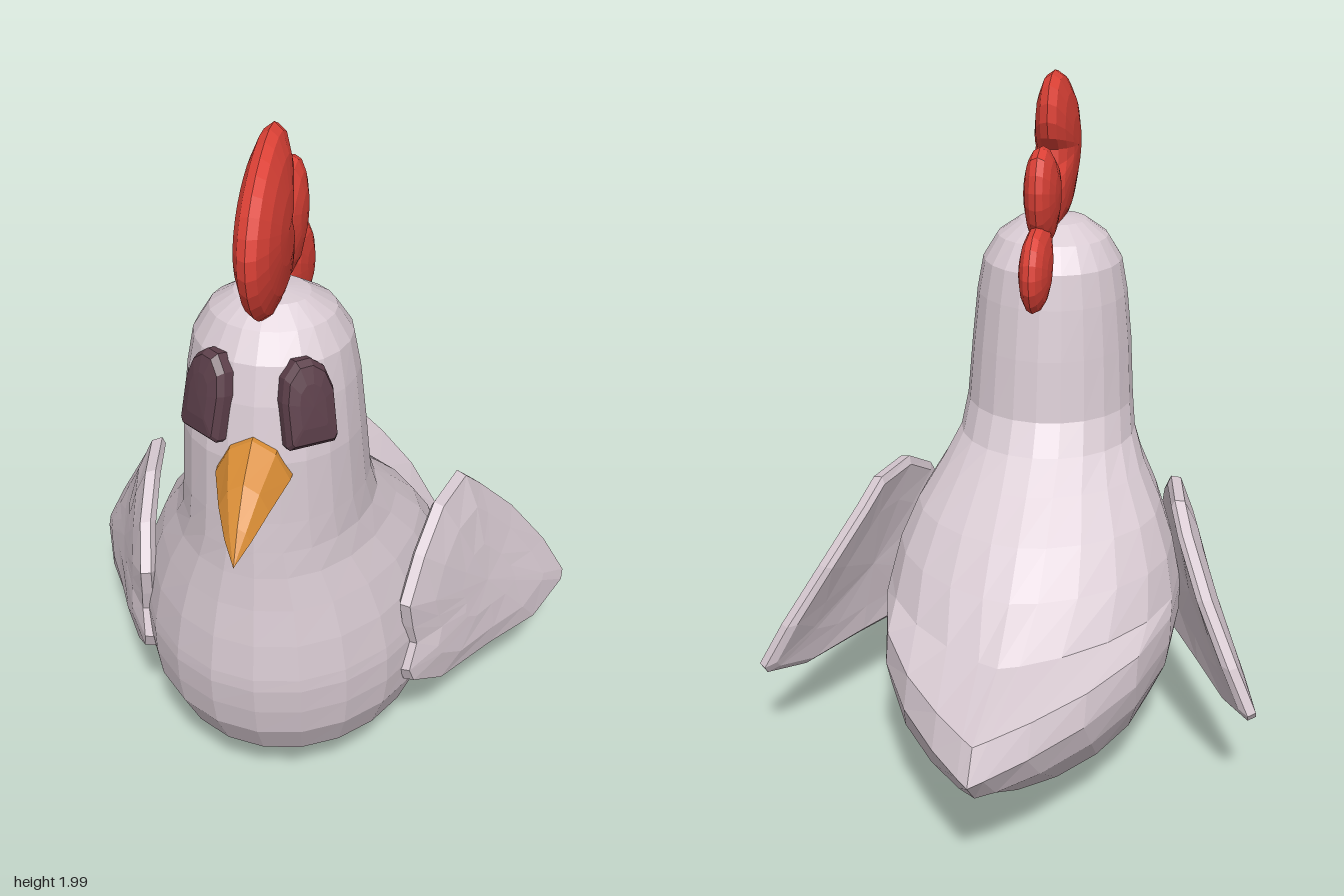
import * as THREE from 'three';

const MID = -0.035; // symmetry plane of body, comb, eyes and beak

const paint = (color) => new THREE.MeshStandardMaterial({ color, flatShading: true });

// Skin rings of equal point count; rings run counter-clockwise about the loft direction
function loft(rings, flip = false) {
  const n = rings[0].length;
  const index = [];
  for (let i = 0; i < rings.length - 1; i++) {
    for (let j = 0; j < n; j++) {
      const a = i * n + j, b = i * n + (j + 1) % n;
      const quad = [a, b, b + n, a, b + n, a + n];
      index.push(...(flip ? quad.reverse() : quad));
    }
  }
  const geometry = new THREE.BufferGeometry();
  geometry.setAttribute('position', new THREE.Float32BufferAttribute(rings.flat(2), 3));
  geometry.setIndex(index);
  geometry.computeVertexNormals();
  return geometry;
}

// Cushion: an outline scaled about its centre through [scale, height] steps
function cushion(outline, [cu, cv], profile, place, flip) {
  return loft(profile.map(([s, h]) =>
    outline.map(([u, v]) => place(cu + (u - cu) * s, cv + (v - cv) * s, h))), flip);
}

// Rounded lens profile for cushions
const lens = (t, steps = 8) => Array.from({ length: steps + 1 }, (_, i) => {
  const a = (i / steps - 0.5) * Math.PI;
  return [Math.cos(a), t * Math.sin(a)];
});

const smooth = (points, count) =>
  new THREE.CatmullRomCurve3(points.map(([u, v]) => new THREE.Vector3(u, v, 0)), true)
    .getSpacedPoints(count).slice(0, count).map((p) => [p.x, p.y]);

export function createModel() {
  const group = new THREE.Group();
  const plumage = paint(0xd8cad2);
  const add = (name, geometry, material) => {
    const mesh = new THREE.Mesh(geometry, material);
    mesh.name = name;
    group.add(mesh);
    return mesh;
  };

  // Body, neck and tail: [y, front z, back z, widest z, half width, tail taper]
  const sections = [
    [0.005, 0.1, 0.1, 0.1, 0, 1],
    [0.008, 0.22, -0.02, 0.1, 0.09, 1],
    [0.04, 0.36, -0.2, 0.12, 0.2, 1],
    [0.1, 0.49, -0.38, 0.12, 0.29, 1.1],
    [0.2, 0.6, -0.58, 0.12, 0.375, 1.3],
    [0.32, 0.67, -0.78, 0.12, 0.425, 1.7],
    [0.41, 0.69, -0.87, 0.11, 0.44, 2],
    [0.49, 0.7, -0.8, 0.11, 0.44, 2],
    [0.53, 0.7, -0.47, 0.11, 0.435, 1.6],
    [0.64, 0.69, -0.3, 0.13, 0.41, 1.3],
    [0.75, 0.675, -0.17, 0.17, 0.365, 1.2],
    [0.85, 0.665, -0.04, 0.24, 0.305, 1.1],
    [0.93, 0.66, 0.06, 0.33, 0.265, 1],
    [1.02, 0.655, 0.115, 0.37, 0.252, 1],
    [1.2, 0.65, 0.14, 0.39, 0.24, 1],
    [1.35, 0.62, 0.165, 0.39, 0.225, 1],
    [1.45, 0.59, 0.185, 0.39, 0.207, 1],
    [1.52, 0.54, 0.24, 0.39, 0.165, 1],
    [1.565, 0.48, 0.31, 0.4, 0.1, 1],
    [1.58, 0.4, 0.4, 0.4, 0, 1],
  ];
  const SIDES = 22;
  const bodyRings = sections.map(([y, front, back, zm, w, taper]) =>
    Array.from({ length: SIDES }, (_, j) => {
      const t = (j / SIDES) * Math.PI * 2;
      const c = Math.cos(t), s = Math.sin(t);
      const x = Math.sign(s) * w * Math.abs(s) ** (c < 0 ? taper : 1);
      return [MID + x, y, zm + c * (c > 0 ? front - zm : zm - back)];
    }));
  add('body', loft(bodyRings), plumage);

  // Wings: side outline (z, y) laid on a plane that flares outward toward the tip
  const wingOutline = [
    [0.42, 0.55], [0.4, 0.48], [0.43, 0.4], [0.41, 0.35], [0.3, 0.28], [0.1, 0.27],
    [-0.08, 0.25], [-0.225, 0.295], [-0.245, 0.32], [-0.22, 0.45], [-0.14, 0.62],
    [-0.02, 0.77], [0.05, 0.84], [0.22, 0.84], [0.36, 0.76], [0.44, 0.64],
  ];
  const wingProfile = [[0, -0.02], [0.6, -0.025], [0.93, -0.03], [1, -0.015], [0.98, 0.015], [0.7, 0.04], [0.35, 0.05], [0, 0.052]];
  const wings = [['leftWing', 1, 0.34, 0.6, 0.65], ['rightWing', -1, 0.41, 0.49, 0.6]];
  for (const [name, side, root, flare, lean] of wings) {
    const place = (z, y, h) =>
      [side * (root + (0.42 - z) * (flare - lean * (y - 0.3)) + h * 0.9), y, z + h * 0.4];
    add(name, cushion(wingOutline, [0.1, 0.52], wingProfile, place, side < 0), plumage);
  }

  // Comb: three overlapping lobes, outlines in (z, y)
  const red = paint(0xdf4237);
  const lobes = [
    ['frontCombLobe', 0.062, [0.47, 1.77], 28, [[0.68, 1.78], [0.665, 1.68], [0.59, 1.58], [0.45, 1.52], [0.3, 1.55],
      [0.27, 1.66], [0.33, 1.77], [0.28, 1.84], [0.275, 1.92], [0.31, 1.98], [0.38, 2.0], [0.5, 1.97], [0.62, 1.89]]],
    ['middleCombLobe', 0.05, [0.2, 1.69], 18, [[0.34, 1.74], [0.34, 1.58], [0.22, 1.52], [0.13, 1.58], [0.085, 1.67],
      [0.085, 1.75], [0.12, 1.815], [0.19, 1.83], [0.25, 1.8]]],
    ['rearCombLobe', 0.045, [0.1, 1.49], 18, [[0.24, 1.56], [0.2, 1.43], [0.16, 1.385], [0.1, 1.37], [0.03, 1.39],
      [-0.015, 1.46], [-0.01, 1.54], [0.04, 1.6], [0.12, 1.615], [0.2, 1.62]]],
  ];
  for (const [name, thickness, centre, count, points] of lobes) {
    add(name, cushion(smooth(points, count), centre, lens(thickness), (z, y, h) => [MID + h, y, z]), red);
  }

  // Eyes: arched pads turned outward and tilted back against the head
  const eyeOutline = [
    [-0.065, -0.11], [0.06, -0.115], [0.07, -0.1], [0.07, 0.03], [0.05, 0.09],
    [0.015, 0.118], [-0.025, 0.118], [-0.06, 0.08], [-0.072, 0.02], [-0.072, -0.1],
  ];
  const eyeProfile = [[0.95, -0.06], [1, -0.03], [1, 0], [0.88, 0.018], [0.5, 0.026], [0, 0.028]];
  const dark = paint(0x5c3f4a);
  for (const side of [1, -1]) {
    const eye = add(side > 0 ? 'leftEye' : 'rightEye',
      cushion(eyeOutline, [0, 0], eyeProfile, (u, v, h) => [side * u, v, h], side < 0), dark);
    eye.position.set(MID + side * 0.132, 1.355, 0.585);
    eye.rotation.set(-0.2, side * 0.67, 0, 'YXZ');
  }

  // Beak: faceted rings curving down to the tip, [z, centre y, half width, rise, drop]
  const beakSteps = [
    [0.56, 1.17, 0.1, 0.115, 0.1], [0.65, 1.165, 0.097, 0.105, 0.095],
    [0.75, 1.13, 0.065, 0.075, 0.06], [0.82, 1.085, 0.034, 0.038, 0.03], [0.87, 1.038, 0, 0, 0],
  ];
  const beakRings = beakSteps.map(([z, y, w, up, down]) =>
    [[1, 0], [0.62, 0.68], [0, 1], [-0.62, 0.68], [-1, 0], [-0.55, -0.75], [0, -1], [0.55, -0.75]]
      .map(([u, v]) => [MID + u * w, y + v * (v > 0 ? up : down), z]));
  add('beak', loft(beakRings), paint(0xd98d35));

  return group;
}
